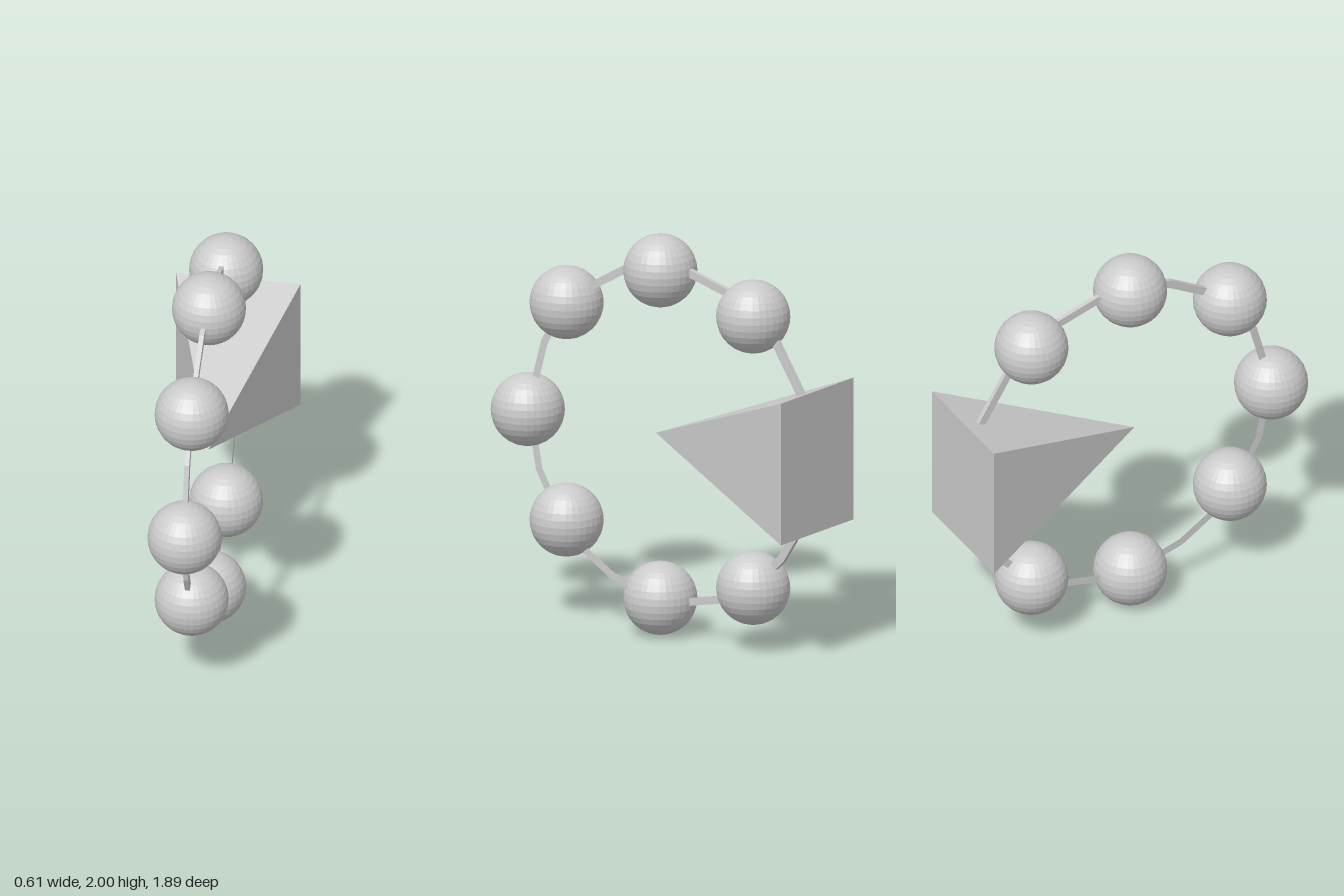
import * as THREE from 'three';

const material = new THREE.MeshStandardMaterial({ color: 0xcccccc, flatShading: true });

export function createModel() {
  const model = new THREE.Group();
  const add = (name, geometry) => {
    const mesh = new THREE.Mesh(geometry, material);
    mesh.name = name;
    model.add(mesh);
    return mesh;
  };

  // Beads: [z, y] centres around the ring
  const beadGeometry = new THREE.SphereGeometry(0.18, 32, 16);
  const beads = [
    [-0.015, 1.82], [0.54, 1.577], [0.77, 1.007], [0.54, 0.488],
    [-0.015, 0.18], [-0.565, 0.313], [-0.565, 1.672],
  ];
  beads.forEach(([z, y], i) => {
    add('bead' + (i + 1), beadGeometry).position.set(-0.002, y, z);
  });

  // Cord: flat faceted ring of rectangular section, [z, y] corners of its centre line
  const cord = [
    [0, 1.85], [0.2, 1.79], [0.53, 1.6], [0.665, 1.36], [0.755, 1.03], [0.695, 0.72],
    [0.53, 0.42], [0.26, 0.25], [-0.06, 0.16], [-0.39, 0.23], [-0.59, 0.34],
    [-0.735, 0.485], [-0.9, 0.75], [-0.92, 1], [-0.9, 1.24], [-0.745, 1.487],
    [-0.61, 1.71], [-0.2, 1.83],
  ];
  const middle = new THREE.Vector2(-0.09, 1);
  const offsetLoop = (distance) => cord.map(([z, y]) => {
    const point = new THREE.Vector2(z, y);
    const outward = point.clone().sub(middle).normalize();
    return point.addScaledVector(outward, distance);
  });
  const ring = new THREE.Shape(offsetLoop(0.02));
  ring.holes.push(new THREE.Path(offsetLoop(-0.02)));
  const cordGeometry = new THREE.ExtrudeGeometry(ring, { depth: 0.024, bevelEnabled: false });
  cordGeometry.rotateY(-Math.PI / 2).translate(0.008, 0, 0);
  add('cord', cordGeometry);

  // Pendant: rectangular pyramid lying on its side, tip towards the ring centre
  const pendant = new THREE.ConeGeometry(Math.SQRT1_2, 1, 4);
  pendant.rotateY(Math.PI / 4).scale(0.61, 0.955, 0.71).rotateX(Math.PI / 2);
  pendant.translate(0, 1.003, -0.4675);
  add('pyramidPendant', pendant);

  return model;
}
